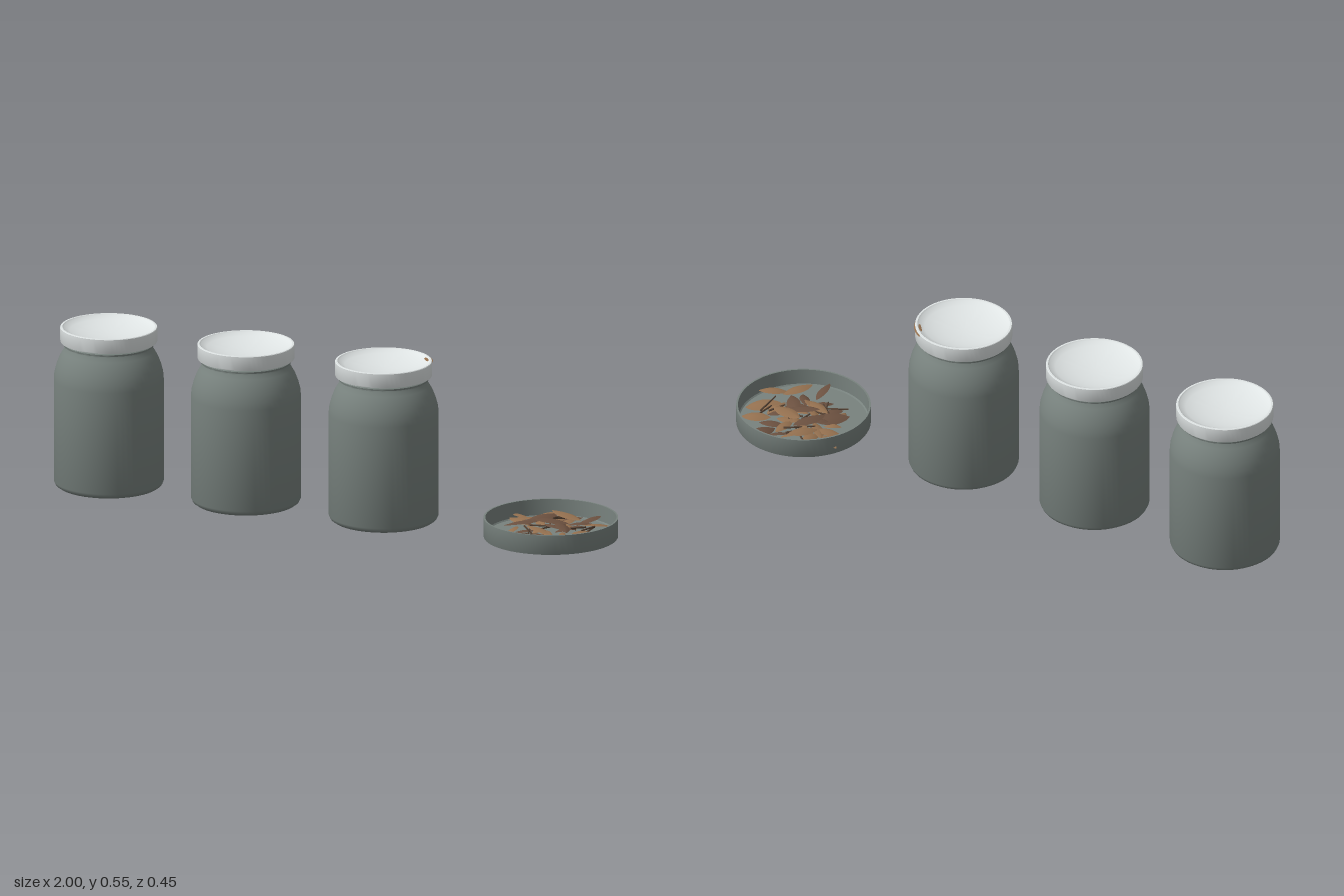
import * as THREE from 'three';
import { toCreasedNormals } from 'three/addons/utils/BufferGeometryUtils.js';

const mat = (name, color, extra = {}) => {
  const m = new THREE.MeshStandardMaterial({ color, ...extra });
  m.name = name;
  return m;
};

// Turned solid from [radius, height] pairs, running bottom centre -> outside -> top centre
const turned = (profile, crease = 0.6) => toCreasedNormals(
  new THREE.LatheGeometry(profile.map(([r, y]) => new THREE.Vector2(r, y)), 64), crease);

// Almond-shaped leaf lying along x, folded on its midrib and curled lengthwise
function leafGeometry(length, width, curl) {
  const g = new THREE.PlaneGeometry(1, 2, 8, 2).rotateX(-Math.PI / 2);
  const p = g.attributes.position;
  for (let i = 0; i < p.count; i++) {
    const t = p.getX(i) + 0.5;
    const side = p.getZ(i) * Math.pow(Math.sin(Math.PI * t), 0.8) * width / 2;
    const y = curl * Math.sin(Math.PI * t) - Math.abs(side) * 0.35;
    p.setXYZ(i, (t - 0.5) * length, y, side);
  }
  g.computeVertexNormals();
  return g;
}

export function createModel() {
  const model = new THREE.Group();
  const glaze = mat('grey green glaze', 0x78827e);
  const white = mat('white lid', 0xdfe4e4);
  const leafMats = [
    mat('brown leaf', 0x94704f, { side: THREE.DoubleSide }),
    mat('dark brown leaf', 0x6c5140, { side: THREE.DoubleSide }),
  ];
  const twigMat = mat('twig brown', 0x594536);

  const add = (parent, name, geometry, material, x = 0, y = 0, z = 0) => {
    const m = new THREE.Mesh(geometry, material);
    m.name = name;
    m.position.set(x, y, z);
    parent.add(m);
    return m;
  };

  // Three identical jars with dished lids
  const bodyGeo = turned([
    [0, 0], [0.158, 0], [0.168, 0.003], [0.178, 0.01], [0.183, 0.021],
    [0.183, 0.37], [0.181, 0.393], [0.174, 0.42], [0.164, 0.446], [0.152, 0.467],
    [0.143, 0.48], [0.141, 0.486], [0.15, 0.487], [0.151, 0.493], [0.146, 0.497],
    [0.146, 0.51], [0, 0.51],
  ]);
  const lidGeo = turned([
    [0, 0.498], [0.153, 0.498], [0.16, 0.5], [0.1615, 0.503], [0.1615, 0.548],
    [0.16, 0.55], [0.154, 0.55], [0.15, 0.546], [0.13, 0.538], [0.1, 0.53],
    [0.065, 0.524], [0.03, 0.521], [0, 0.52],
  ]);
  [-0.817, -0.317, 0.185].forEach((x, i) => {
    const jar = new THREE.Group();
    jar.name = 'jar' + (i + 1);
    jar.position.set(x, 0, 0.041);
    add(jar, 'jarBody', bodyGeo, glaze);
    add(jar, 'jarLid', lidGeo, white);
    model.add(jar);
  });

  // Stray leaf resting inside the rim of the last lid
  const stray = add(model, 'strayLeaf', leafGeometry(0.11, 0.025, 0.002), leafMats[0], 0.305, 0.546, -0.055);
  stray.rotation.y = -0.95;

  // Shallow round tray
  const tray = new THREE.Group();
  tray.name = 'tray';
  tray.position.set(0.776, 0, 0);
  model.add(tray);
  add(tray, 'trayDish', turned([
    [0, 0], [0.219, 0], [0.2225, 0.001], [0.224, 0.004], [0.224, 0.068],
    [0.218, 0.068], [0.217, 0.014], [0.213, 0.01], [0, 0.01],
  ]), glaze);

  // Dried leaves: x, z, direction, length, height above the tray bottom
  const leaves = [
    [0.15, -0.01, 0.65, 0.12, 0.025], [0.165, 0.085, 0.5, 0.1, 0.022],
    [0.1, 0.135, 1.1, 0.12, 0.022], [0.02, 0.165, 1.6, 0.1, 0.022],
    [0.07, -0.155, 1.15, 0.11, 0.024], [0.13, -0.09, 0.4, 0.1, 0.028],
    [-0.155, -0.1, -0.5, 0.1, 0.025], [-0.13, -0.06, 0.2, 0.1, 0.03],
    [-0.1, 0.01, 0.75, 0.13, 0.038], [-0.05, -0.05, 1.1, 0.13, 0.05],
    [-0.02, 0.055, -0.4, 0.12, 0.035], [0.03, -0.06, -0.3, 0.13, 0.062],
    [-0.06, -0.11, 0.9, 0.11, 0.04], [0.05, 0.02, -0.9, 0.12, 0.045],
    [0.0, -0.005, 0.3, 0.12, 0.053],
  ];
  let seed = 17;
  const rnd = () => (seed = (seed * 16807) % 2147483647) / 2147483647;

  // Smaller leaves heaped toward the middle
  for (let i = 0; i < 26; i++) {
    const a = i * 2.4, r = 0.13 * Math.sqrt((i + 0.5) / 26);
    leaves.push([-0.015 + r * Math.cos(a), -0.02 + r * Math.sin(a), rnd() * Math.PI,
      0.06 + 0.04 * rnd(), 0.022 + 0.035 * (1 - r / 0.13) * rnd()]);
  }
  const pile = new THREE.Group();
  pile.name = 'driedLeaves';
  tray.add(pile);
  leaves.forEach(([x, z, turn, length, y], i) => {
    const leaf = add(pile, 'leaf', leafGeometry(length, length * (0.32 + 0.12 * rnd()), 0.008),
      leafMats[i % 5 < 3 ? 0 : 1], x, y, z);
    leaf.rotation.set((rnd() - 0.5) * 0.5, turn, (rnd() - 0.5) * 0.25, 'YXZ');
  });

  // Thin stalks among the leaves
  for (let i = 0; i < 14; i++) {
    const a = i * 2.1, r = 0.03 + 0.1 * rnd();
    const twig = add(pile, 'stalk', new THREE.CylinderGeometry(0.0025, 0.0035, 0.06 + 0.05 * rnd(), 5).rotateZ(Math.PI / 2),
      twigMat, r * Math.cos(a), 0.022 + 0.025 * rnd(), -0.02 + r * Math.sin(a));
    twig.rotation.set(0, rnd() * Math.PI, (rnd() - 0.5) * 0.2, 'YXZ');
  }
  return model;
}
